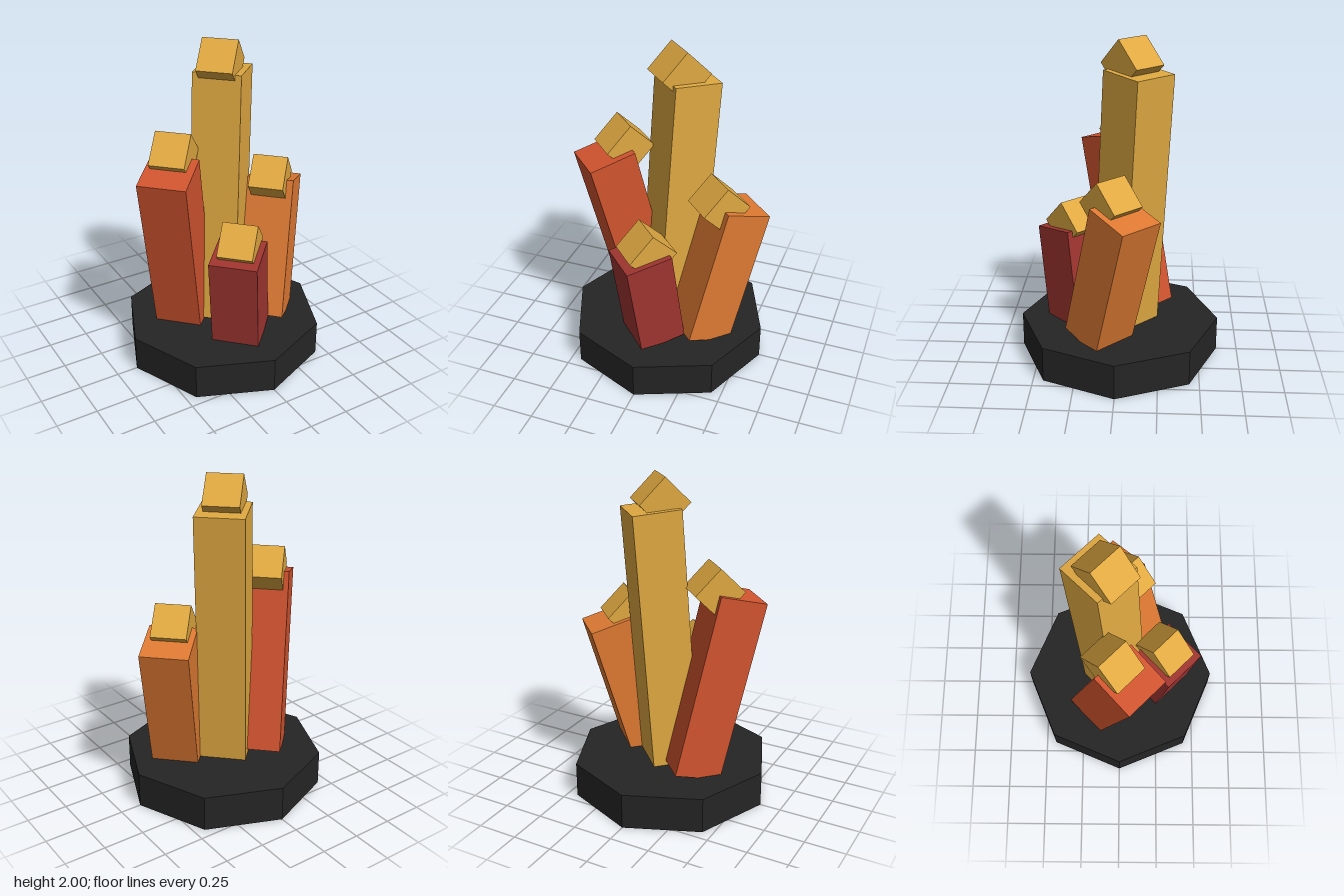
import * as THREE from 'three';

const mat = (name, color) => {
  const m = new THREE.MeshStandardMaterial({ color });
  m.name = name;
  return m;
};

export function createModel() {
  const model = new THREE.Group();
  model.name = 'crystalCluster';
  const gold = mat('gold', 0xe0a941);
  const orange = mat('orange', 0xdf7a33);
  const red = mat('red', 0xd2542f);
  const maroon = mat('maroon', 0xa03530);
  const charcoal = mat('charcoal', 0x252525);

  const add = (name, geometry, material, parent = model) => {
    const mesh = new THREE.Mesh(geometry, material);
    mesh.name = name;
    parent.add(mesh);
    return mesh;
  };

  // Octagonal plinth (non-indexed so every side is flat)
  const plinth = new THREE.CylinderGeometry(0.62, 0.62, 0.22, 8).toNonIndexed();
  plinth.computeVertexNormals();
  add('base', plinth, charcoal).position.y = 0.11;

  // Cube standing on one edge, its ridge running diagonally
  const tipGeometry = new THREE.BoxGeometry(0.214, 0.214, 0.214)
    .rotateX(Math.PI / 4).rotateY(-Math.PI / 4);

  // Square shaft leaning from bottom to top, with an upright cube tip
  const up = new THREE.Vector3(0, 1, 0);
  const crystal = (name, material, bottom, top, tip) => {
    const group = new THREE.Group();
    group.name = name;
    const a = new THREE.Vector3(...bottom);
    const axis = new THREE.Vector3(...top).sub(a);
    const length = axis.length();
    const geometry = new THREE.BoxGeometry(0.29, length, 0.29)
      .translate(0, length / 2, 0).rotateY(Math.PI / 4);
    const shaft = add(name + 'Shaft', geometry, material, group);
    shaft.position.copy(a);
    shaft.quaternion.setFromUnitVectors(up, axis.normalize());
    add(name + 'Tip', tipGeometry, gold, group).position.set(...tip);
    model.add(group);
  };

  crystal('tallCrystal', gold, [-0.005, 0.22, -0.035], [0.075, 1.81, -0.115], [0.035, 1.85, -0.075]);
  crystal('rightCrystal', red, [-0.2, 0.22, -0.13], [-0.39, 1.32, 0.06], [-0.3, 1.36, -0.04]);
  crystal('leftCrystal', orange, [0.247, 0.22, 0.117], [0.417, 1.065, -0.053], [0.327, 1.1, 0.033]);
  crystal('frontCrystal', maroon, [-0.01, 0.22, 0.245], [-0.07, 0.82, 0.305], [-0.04, 0.843, 0.278]);

  return model;
}
